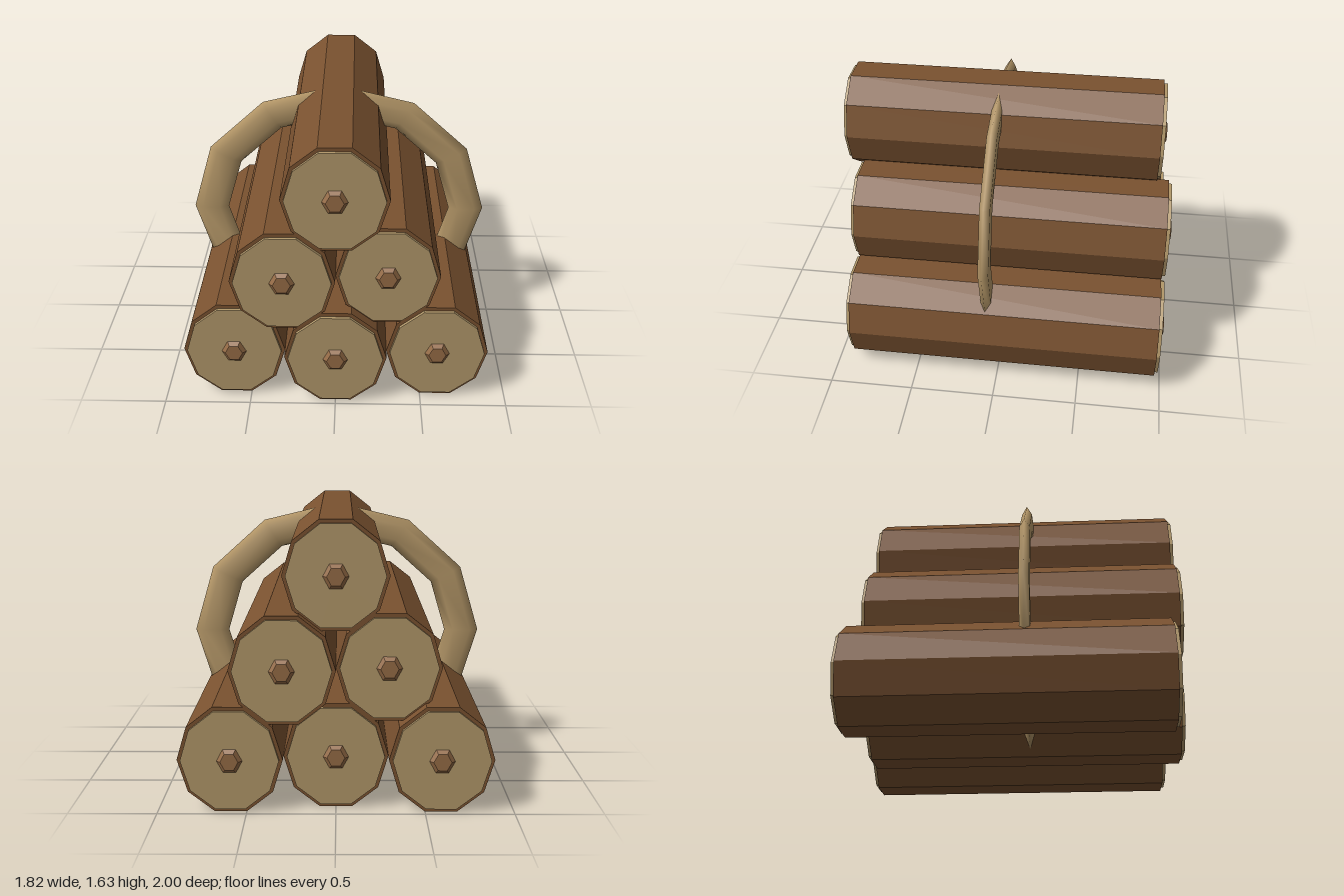
import * as THREE from 'three';

function material(name, color) {
  const m = new THREE.MeshStandardMaterial({ color });
  m.name = name;
  return m;
}

// Faceted prism lying along z, with corners on the x axis and flats at top and bottom
function prism(frontRadius, backRadius, depth, sides) {
  return new THREE.CylinderGeometry(frontRadius, backRadius, depth, sides, 1, false, Math.PI / 2)
    .rotateX(Math.PI / 2)
    .scale(1, 1.087, 1)
    .toNonIndexed();
}

export function createModel() {
  const model = new THREE.Group();
  model.name = 'logPile';

  const barkMat = material('bark brown', 0x7a5230);
  const woodMat = material('cut wood tan', 0xb2986a);
  const coreMat = material('core brown', 0x966c46);
  const ropeMat = material('rope tan', 0xb89a6a);

  const R = 0.295, HALF = 0.925;
  const barkGeo = prism(R, R, HALF * 2, 10);
  const endGeo = prism(R * 0.93, R * 0.93, 0.04, 10);
  const coreGeo = prism(0.05, 0.077, 0.025, 6);
  for (const g of [barkGeo, endGeo, coreGeo]) g.computeVertexNormals();

  function add(parent, name, geometry, mat, z = 0) {
    const mesh = new THREE.Mesh(geometry, mat);
    mesh.name = name;
    mesh.position.z = z;
    parent.add(mesh);
    return mesh;
  }

  function addLog(x, y, z) {
    const log = new THREE.Group();
    log.name = 'log';
    log.position.set(x, y, z);
    add(log, 'bark', barkGeo, barkMat);
    // Cut face and raised core at both ends
    for (const s of [1, -1]) {
      add(log, 'cutEnd', endGeo, woodMat, s * HALF);
      const core = add(log, 'core', coreGeo, coreMat, s * (HALF + 0.0275));
      if (s < 0) core.rotation.y = Math.PI;
    }
    model.add(log);
  }

  // Three rows stacked as a pyramid, logs slid alternately to front and back
  const slides = [[-1, 1, -1], [1, -1], [1]];
  slides.forEach((row, r) => row.forEach((slide, i) => {
    addLog((i - (row.length - 1) / 2) * 2 * R, 0.305 + r * 0.5115, slide * 0.035);
  }));

  // Flattened rope loop around the pile
  const rope = add(model, 'ropeLoop', new THREE.TorusGeometry(0.802, 0.107, 6, 12), ropeMat, 0.067);
  rope.position.y = 0.817;
  rope.scale.set(1, 0.897, 0.33);

  return model;
}
